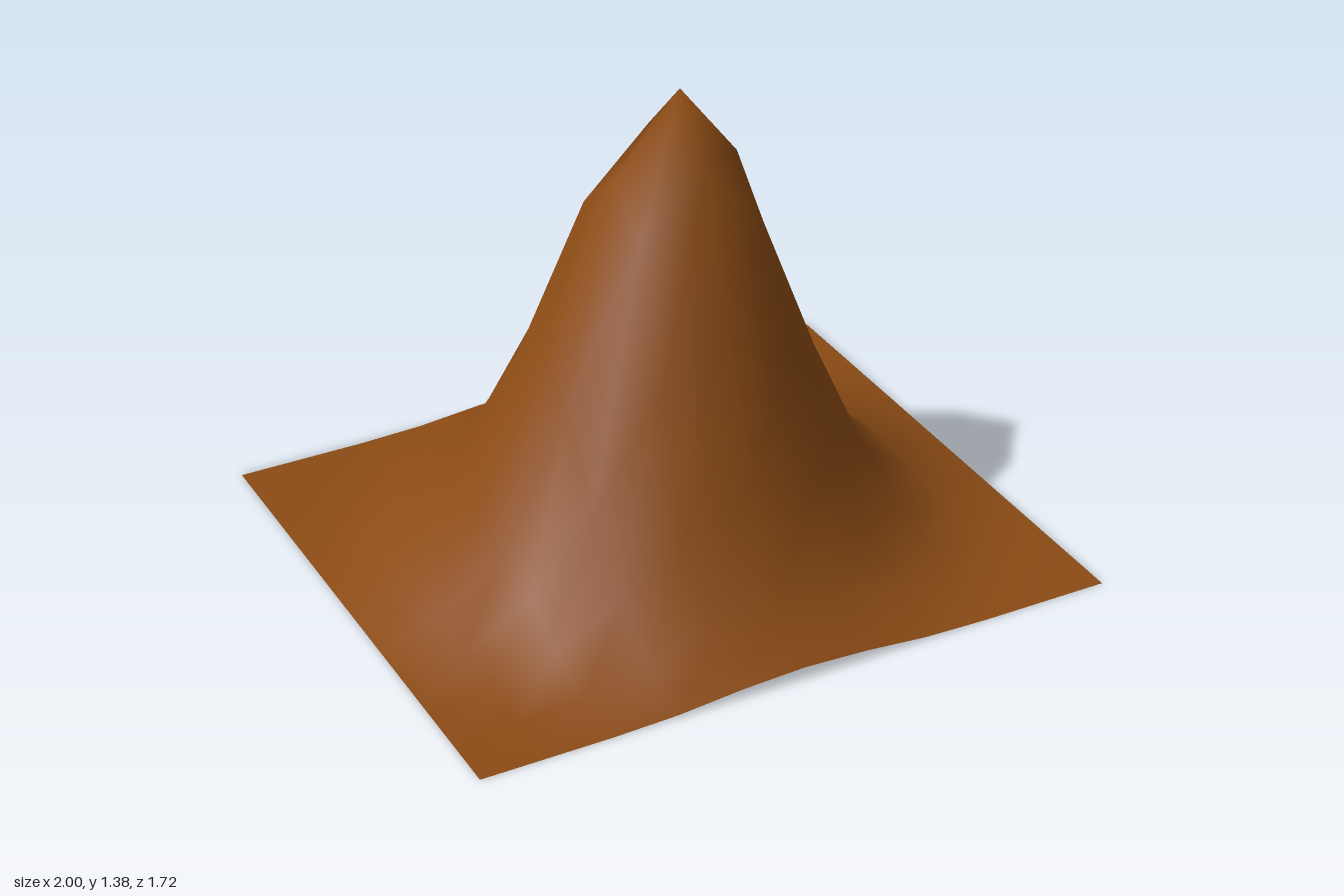
import * as THREE from 'three';

// Smooth bell falloff: 1 at the centre, 0 at the given radius
function falloff(r, radius) {
  const t = Math.max(0, 1 - r / radius);
  return t * t * (3 - 2 * t);
}

export function createModel() {
  const group = new THREE.Group();
  group.name = 'mountain';

  // Square ground grid, pulled up into a broad foot and a steeper, leaning peak
  const geometry = new THREE.PlaneGeometry(2, 1.72, 10, 10).rotateX(-Math.PI / 2);
  const pos = geometry.attributes.position;
  for (let i = 0; i < pos.count; i++) {
    const x = pos.getX(i), z = pos.getZ(i);
    const r = Math.hypot(x, z);
    const foot = falloff(r, 1.01);
    const peak = falloff(r, 0.69);
    const lean = falloff(r, 0.65);
    pos.setXYZ(i, x + 0.125 * lean, 0.56 * foot + 0.815 * peak, z - 0.122 * lean);
  }
  geometry.computeVertexNormals();

  const material = new THREE.MeshStandardMaterial({ color: 0x8b4b15, side: THREE.DoubleSide });
  const terrain = new THREE.Mesh(geometry, material);
  terrain.name = 'terrain';
  group.add(terrain);
  return group;
}
